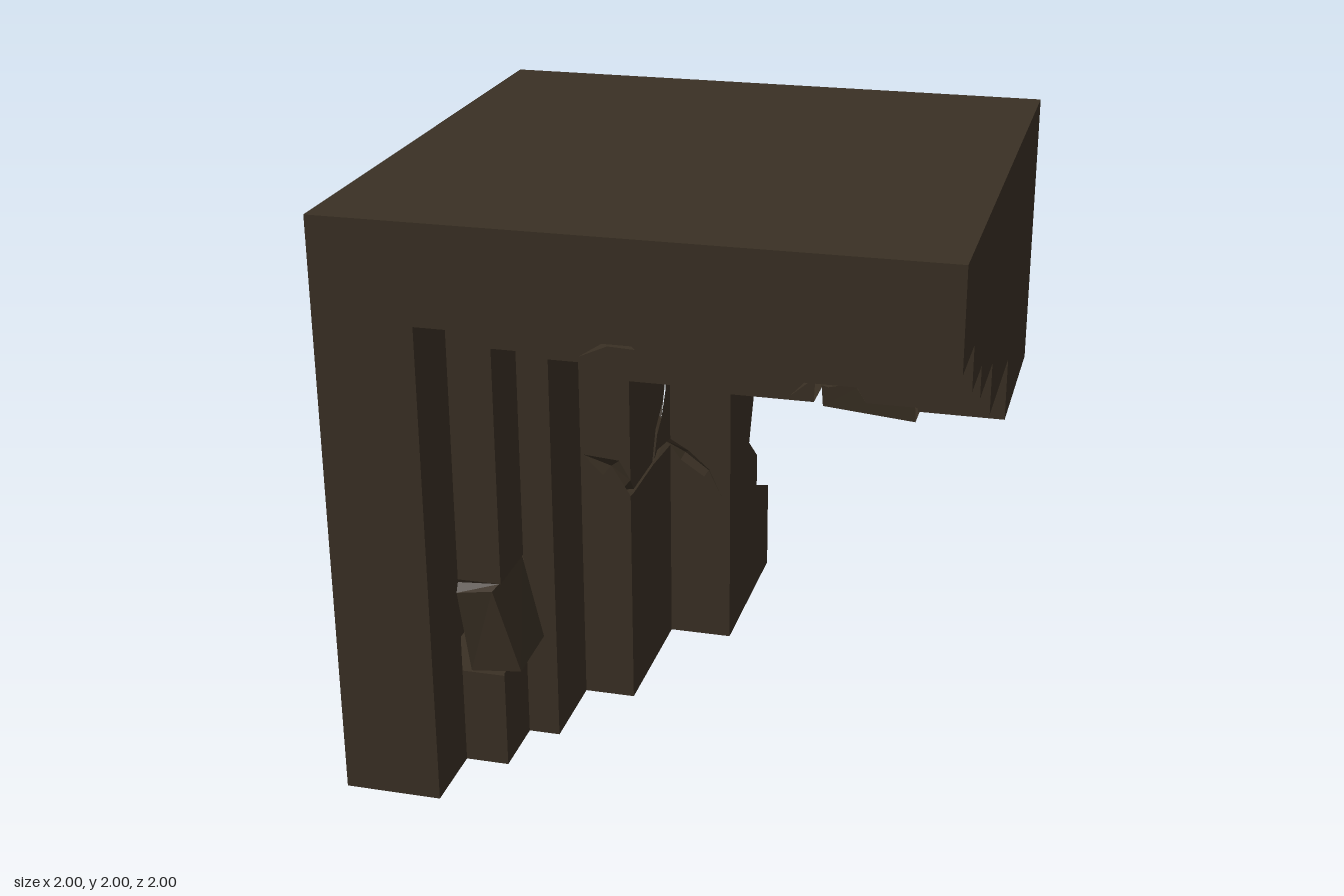
import * as THREE from 'three';

export function createModel() {
  const model = new THREE.Group();
  model.name = 'crackedSteppedArchway';
  const stone = new THREE.MeshStandardMaterial({ color: 0x3a3024, side: THREE.DoubleSide });
  stone.name = 'darkStone';

  function addMesh(name, geo, parent = model) {
    geo.computeVertexNormals();
    const mesh = new THREE.Mesh(geo, stone);
    mesh.name = name;
    parent.add(mesh);
  }

  // Planar outline mapped into space; flip turns the winding round
  function panel(name, outline, map, flip = false) {
    const geo = new THREE.ShapeGeometry(new THREE.Shape(outline.map(p => new THREE.Vector2(...p))));
    const pos = geo.attributes.position;
    for (let i = 0; i < pos.count; i++) pos.setXYZ(i, ...map(pos.getX(i), pos.getY(i)));
    if (flip) geo.index.array.reverse();
    addMesh(name, geo);
  }
  const front = z => (x, y) => [x, y, z];
  const side = x => (z, y) => [x, y, z];
  const level = y => (x, z) => [x, y, z];
  const rect = (a0, b0, a1, b1) => [[a0, b0], [a1, b0], [a1, b1], [a0, b1]];

  // Strip of faces between two paths with the same number of points
  function ribbon(name, a, b, parent) {
    const verts = [];
    for (let i = 0; i < a.length - 1; i++) {
      verts.push(...b[i], ...b[i + 1], ...a[i + 1], ...b[i], ...a[i + 1], ...a[i]);
    }
    const geo = new THREE.BufferGeometry();
    geo.setAttribute('position', new THREE.Float32BufferAttribute(verts, 3));
    addMesh(name, geo, parent);
  }
  // V-shaped crack: upper lip, buried line, lower lip
  function crack(name, upper, deep, lower) {
    ribbon(name + 'Upper', upper, deep);
    ribbon(name + 'Lower', deep, lower);
  }

  // Step profile, from the outer frame to the innermost one
  const X = [-0.67, -0.52, -0.41, -0.23, 0];
  const Y = [1.67, 1.52, 1.41, 1.23, 1];
  const Z = [1, 0.74, 0.51, 0.19, -0.34, -1];

  // Outer shell, open at the back
  panel('roof', rect(-1, -1, 1, 1), level(2), true);
  panel('outerWall', rect(-1, 0, 1, 2), side(-1));
  const base = [[-1, -1], [-1, 1]], cap = [[-1, 2], [1, 2]];
  for (let i = 0; i < 5; i++) {
    base.push([X[i], Z[i]], [X[i], Z[i + 1]]);
    cap.push([Z[i], Y[i]], [Z[i + 1], Y[i]]);
  }
  panel('postBase', base, level(0));
  panel('lintelEnd', cap, side(1), true);

  // Front faces of the steps
  panel('frame0', [[-1, 0], [X[0], 0], [X[0], Y[0]], [1, Y[0]], [1, 2], [-1, 2]], front(Z[0]));
  panel('frame1Foot', rect(X[0], 0, X[1], 0.345), front(Z[1]));
  panel('frame1', [[X[0], 0.69], [X[1], 0.69], [X[1], Y[1]], [-0.23, Y[1]], [-0.1, 1.605], [0, Y[1]],
    [1, Y[1]], [1, Y[0]], [X[0], Y[0]]], front(Z[1]));
  panel('frame2', [[X[1], 0], [X[2], 0], [X[2], Y[2]], [1, Y[2]], [1, Y[1]], [X[1], Y[1]]], front(Z[2]));
  panel('frame3', [[X[2], 0], [X[3], 0], [X[3], 0.8], [-0.33, 0.87], [-0.4, 0.94], [-0.27, 0.93], [X[3], 0.86],
    [X[3], Y[3]], [0.33, Y[3]], [0.4, 1.305], [0.45, 1.295], [0.51, 1.36], [0.59, Y[3]],
    [1, Y[3]], [1, Y[2]], [X[2], Y[2]]], front(Z[3]));
  panel('frame4', [[X[3], 0], [X[4], 0], [X[4], Y[4]], [0.31, Y[4]], [0.32, Y[3]], [X[3], Y[3]],
    [X[3], 0.8], [-0.16, 0.76], [-0.08, 0.69], [-0.03, 0.58], [-0.1, 0.66], [-0.19, 0.72], [X[3], 0.775]], front(Z[4]));
  panel('frame4End', [[0.69, Y[4]], [1, Y[4]], [1, Y[3]], [0.67, Y[3]]], front(Z[4]));

  // Inner sides of the post
  panel('jamb0', rect(Z[1], 0, Z[0], Y[0]), side(X[0]), true);
  panel('jamb1Foot', [[Z[2], 0], [Z[1], 0], [Z[1], 0.355], [Z[2], 0.335]], side(X[1]), true);
  panel('jamb1', rect(Z[2], 0.69, Z[1], Y[1]), side(X[1]), true);
  panel('jamb2', rect(Z[3], 0, Z[2], Y[2]), side(X[2]), true);
  panel('jamb3Foot', [[Z[4], 0], [Z[3], 0], [Z[3], 0.8], [0.15, 0.795], [-0.1, 0.795], [Z[4], 0.775]], side(X[3]), true);
  panel('jamb3', [[Z[3], 0.86], [0.15, 0.81], [-0.09, 0.81], [-0.14, 0.92], [-0.24, 0.99], [-0.29, 1.09],
    [-0.28, 1.02], [-0.22, 0.93], [-0.16, 0.89], [-0.12, 0.81], [-0.16, 0.83], [Z[4], 0.8],
    [Z[4], Y[3]], [Z[3], Y[3]]], side(X[3]), true);
  panel('jamb4', [[Z[4], 0], [-1, 0], [-1, 0.35], [-0.79, 0.44], [-0.79, 0.57], [-0.65, 0.68],
    [-0.73, 0.86], [-0.9, 0.95], [-1, 0.96], [-1, 1], [Z[4], 1]], side(X[4]), true);

  // Undersides of the lintel
  panel('soffit0', rect(X[0], Z[1], 1, Z[0]), level(Y[0]));
  panel('soffit1', [[X[1], Z[2]], [1, Z[2]], [1, Z[1]], [0, Z[1]], [-0.07, 0.64], [-0.17, 0.63],
    [-0.23, Z[1]], [X[1], Z[1]]], level(Y[1]));
  panel('soffit2', rect(X[2], Z[3], 1, Z[2]), level(Y[2]));
  panel('soffit3', [[X[3], Z[4]], [1, Z[4]], [1, Z[3]], [0.59, Z[3]], [0.52, 0.025], [0.44, 0.08],
    [0.37, 0.04], [0.33, Z[3]], [X[3], Z[3]]], level(Y[3]));
  panel('soffit4', rect(X[4], -1, 0.31, Z[4]), level(Y[4]));
  panel('soffit4End', rect(0.69, -1, 1, Z[4]), level(Y[4]));

  // Crack running round the post
  crack('frontCrack',
    [[-0.4, 0.94, 0.19], [-0.27, 0.93, 0.19], [-0.23, 0.86, 0.19]],
    [[-0.4, 0.94, 0.19], [-0.31, 0.89, 0.15], [-0.26, 0.82, 0.16]],
    [[-0.4, 0.94, 0.19], [-0.33, 0.87, 0.19], [-0.23, 0.8, 0.19]]);
  crack('sideCrack',
    [[-0.23, 0.86, 0.19], [-0.23, 0.81, 0.15], [-0.23, 0.81, -0.12], [-0.23, 0.83, -0.16], [-0.23, 0.8, -0.34]],
    [[-0.26, 0.82, 0.16], [-0.26, 0.8, 0.14], [-0.26, 0.8, -0.1], [-0.27, 0.8, -0.16], [-0.26, 0.785, -0.36]],
    [[-0.23, 0.8, 0.19], [-0.23, 0.795, 0.15], [-0.23, 0.795, -0.1], [-0.23, 0.79, -0.16], [-0.23, 0.775, -0.34]]);
  crack('branchCrack',
    [[-0.23, 0.81, -0.09], [-0.23, 0.92, -0.14], [-0.23, 0.99, -0.24], [-0.23, 1.09, -0.29]],
    [[-0.26, 0.8, -0.1], [-0.26, 0.9, -0.15], [-0.26, 0.96, -0.23], [-0.23, 1.09, -0.29]],
    [[-0.23, 0.81, -0.12], [-0.23, 0.89, -0.16], [-0.23, 0.93, -0.22], [-0.23, 1.09, -0.29]]);
  crack('innerCrack',
    [[-0.23, 0.8, -0.34], [-0.16, 0.76, -0.34], [-0.08, 0.69, -0.34], [-0.03, 0.58, -0.34]],
    [[-0.26, 0.785, -0.36], [-0.18, 0.74, -0.37], [-0.09, 0.675, -0.37], [-0.03, 0.58, -0.34]],
    [[-0.23, 0.775, -0.34], [-0.19, 0.72, -0.34], [-0.1, 0.66, -0.34], [-0.03, 0.58, -0.34]]);

  // Loose block slipping out of the post: rim, front, side
  const postBlock = new THREE.Group();
  postBlock.name = 'loosePostBlock';
  model.add(postBlock);
  ribbon('blockTop', [[-0.67, 0.68, 0.74], [-0.525, 0.69, 0.74]], [[-0.665, 0.655, 0.77], [-0.54, 0.675, 0.77]], postBlock);
  ribbon('blockFaces',
    [[-0.665, 0.655, 0.77], [-0.54, 0.675, 0.77], [-0.525, 0.69, 0.51]],
    [[-0.64, 0.345, 0.73], [-0.46, 0.37, 0.74], [-0.455, 0.385, 0.51]], postBlock);

  // Loose block sagging from the lintel: front and underside
  const lintelBlock = new THREE.Group();
  lintelBlock.name = 'looseLintelBlock';
  model.add(lintelBlock);
  ribbon('blockFaces',
    [[0.325, 1.23, -0.34], [0.34, 0.98, -0.36], [0.34, 0.985, -1]],
    [[0.67, 1.21, -0.34], [0.68, 0.95, -0.36], [0.68, 0.955, -1]], lintelBlock);
  return model;
}
